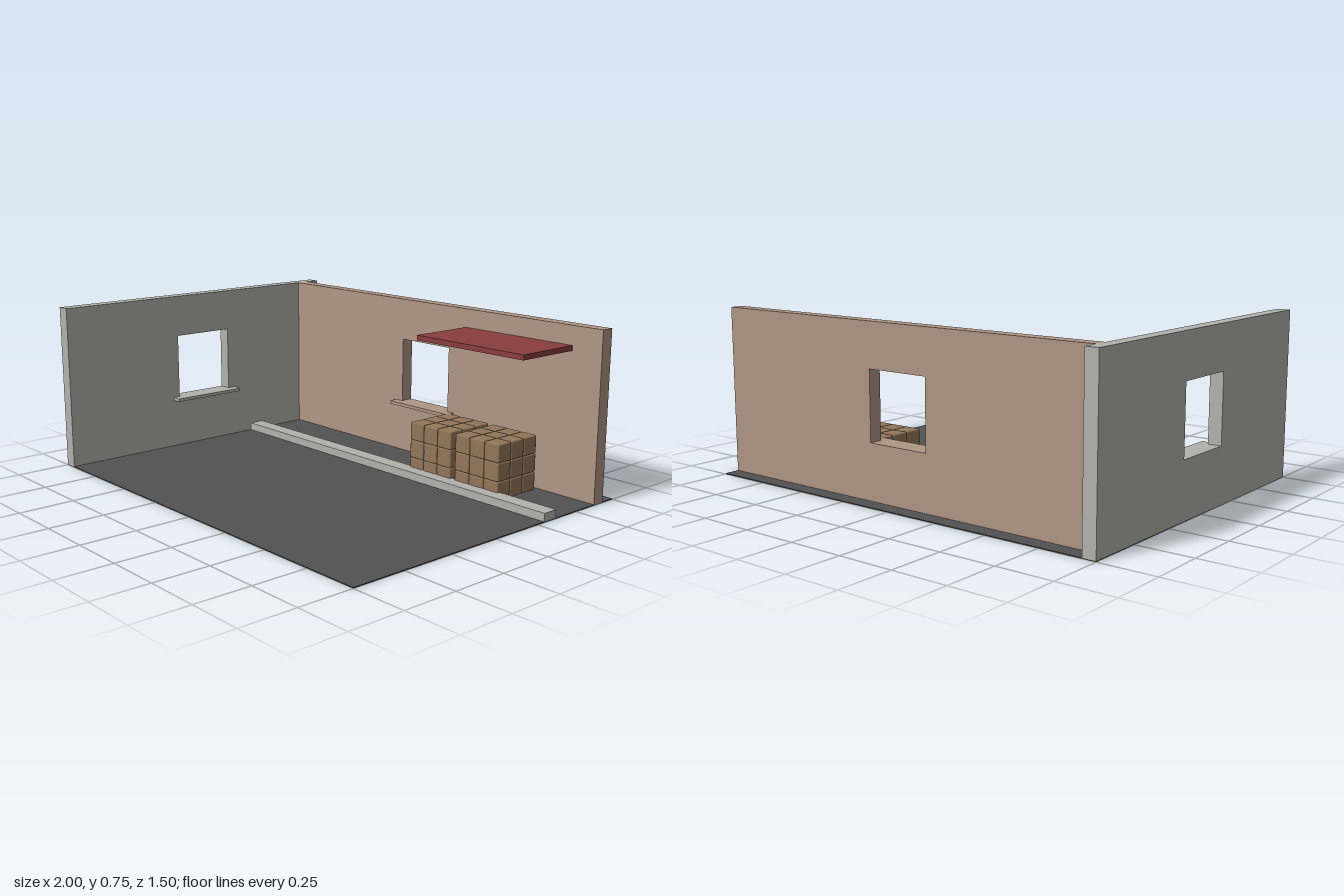
import * as THREE from 'three';
import { RoundedBoxGeometry } from 'three/addons/geometries/RoundedBoxGeometry.js';

function material(name, color) {
  const m = new THREE.MeshStandardMaterial({ color });
  m.name = name;
  return m;
}

// Box given by its limits on each axis
function box(name, mat, [x0, x1], [y0, y1], [z0, z1]) {
  const mesh = new THREE.Mesh(new THREE.BoxGeometry(x1 - x0, y1 - y0, z1 - z0), mat);
  mesh.position.set((x0 + x1) / 2, (y0 + y1) / 2, (z0 + z1) / 2);
  mesh.name = name;
  return mesh;
}

// Upright wall along x from a to b, with a window hole, extruded towards +z
function wall(name, mat, a, b) {
  const shape = new THREE.Shape();
  shape.moveTo(a, 0).lineTo(b, 0).lineTo(b, 0.75).lineTo(a, 0.75).closePath();
  const hole = new THREE.Path();
  hole.moveTo(-0.15, 0.25).lineTo(-0.15, 0.555).lineTo(0.15, 0.555).lineTo(0.15, 0.25).closePath();
  shape.holes.push(hole);
  const mesh = new THREE.Mesh(
    new THREE.ExtrudeGeometry(shape, { depth: 0.06, bevelEnabled: false }), mat);
  mesh.name = name;
  return mesh;
}

// Crate with a three by three grid of bevelled blocks on every side
function crate(mat, x) {
  const group = new THREE.Group();
  group.name = 'crate';
  const pitch = 0.25 / 3;
  const block = new RoundedBoxGeometry(pitch - 0.001, pitch - 0.001, pitch - 0.001, 1, 0.006);
  for (let i = -1; i <= 1; i++)
    for (let j = -1; j <= 1; j++)
      for (let k = -1; k <= 1; k++) {
        if (!i && !j && !k) continue;
        const mesh = new THREE.Mesh(block, mat);
        mesh.position.set(i * pitch, j * pitch, k * pitch);
        mesh.name = 'crateBlock';
        group.add(mesh);
      }
  // Core closes the grooves
  const c = 0.118;
  group.add(box('crateCore', mat, [-c, c], [-c, c], [-c, c]));
  group.position.set(x, 0.127, -0.475);
  return group;
}

export function createModel() {
  const asphalt = material('asphalt', 0x525252);
  const concrete = material('concrete', 0xb2b2ad);
  const plaster = material('plaster', 0xb09684);
  const awningRed = material('awningRed', 0x8a3e3e);
  const wood = material('wood', 0x93765a);

  const model = new THREE.Group();
  model.name = 'streetCorner';

  // Ground and kerb
  model.add(box('ground', asphalt, [-1, 1], [0, 0.004], [-0.75, 0.75]));
  model.add(box('kerb', concrete, [-0.94, 1], [0.002, 0.04], [-0.365, -0.29]));

  // Side wall, turned so that it runs along z
  const sideWall = wall('sideWall', concrete, -0.75, 0.75);
  sideWall.rotation.y = Math.PI / 2;
  sideWall.position.x = -1;
  model.add(sideWall);
  model.add(box('sideSill', concrete, [-0.95, -0.895], [0.235, 0.25], [-0.19, 0.185]));

  // Back wall
  const backWall = wall('backWall', plaster, -0.94, 1);
  backWall.position.z = -0.68;
  model.add(backWall);
  model.add(box('backSill', plaster, [-0.19, 0.19], [0.235, 0.25], [-0.63, -0.575]));

  // Awning and crates
  model.add(box('awning', awningRed, [0.25, 0.85], [0.642, 0.665], [-0.62, -0.305]));
  for (const x of [0.3, 0.575]) model.add(crate(wood, x));

  return model;
}
